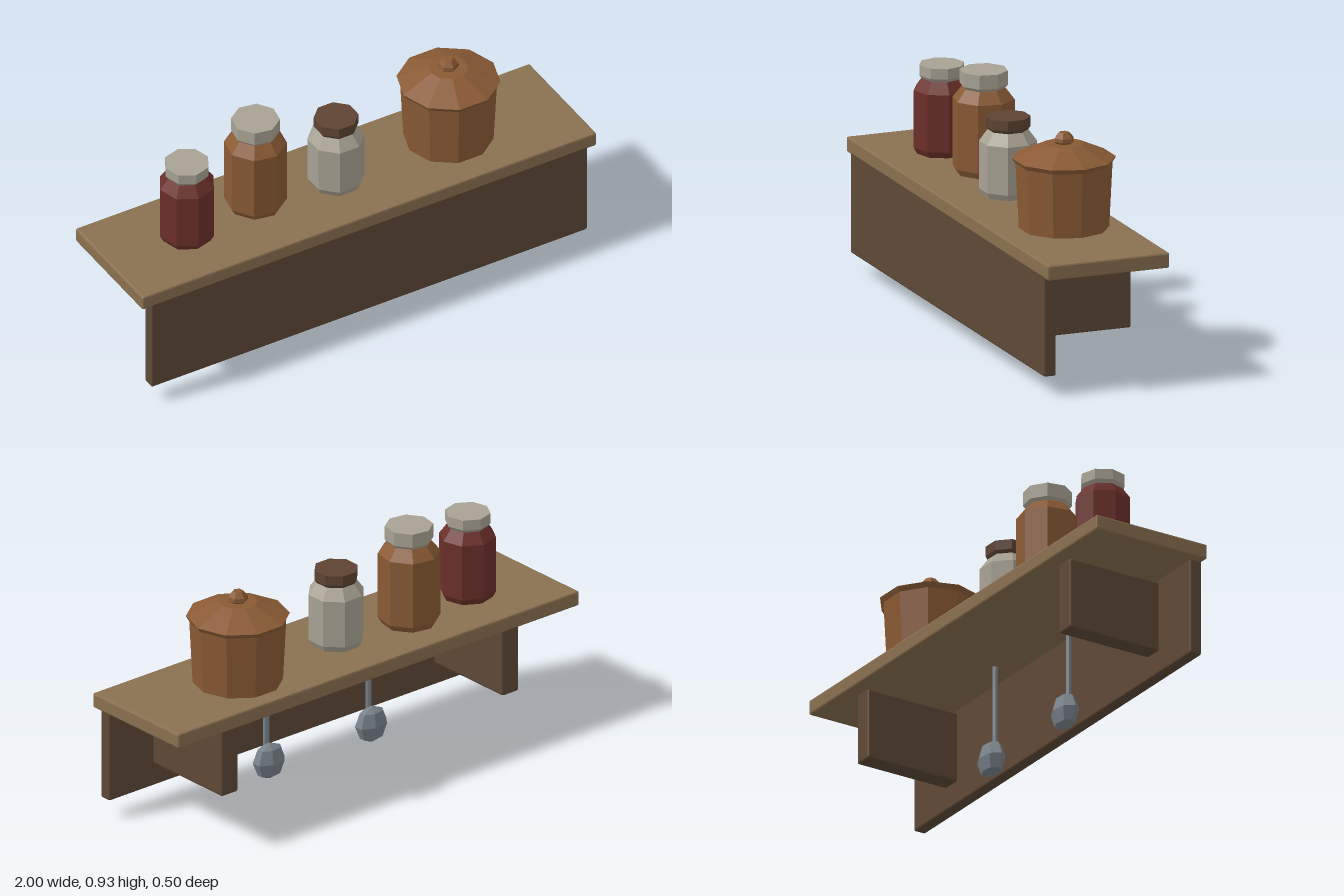
import * as THREE from 'three';
import { RoundedBoxGeometry } from 'three/addons/geometries/RoundedBoxGeometry.js';

const flat = (name, color) => new THREE.MeshStandardMaterial({ name, color, flatShading: true });

export function createModel() {
  const lightWood = flat('light wood', 0x8a7050);
  const darkWood = flat('dark wood', 0x5e4836);
  const clay = flat('amber clay', 0x8a5a34);
  const red = flat('red preserve', 0x6b2f2a);
  const pale = flat('pale ceramic', 0xa8a293);
  const cork = flat('dark lid', 0x5e4333);
  const metal = flat('metal', 0x78828a);

  const model = new THREE.Group();
  model.name = 'kitchenShelf';

  const add = (parent, name, geometry, material, x = 0, y = 0, z = 0) => {
    const mesh = new THREE.Mesh(geometry, material);
    mesh.name = name;
    mesh.position.set(x, y, z);
    parent.add(mesh);
    return mesh;
  };
  const group = (name, x, y, z) => {
    const g = new THREE.Group();
    g.name = name;
    g.position.set(x, y, z);
    model.add(g);
    return g;
  };
  // Chamfered plank
  const plank = (w, h, d) => new RoundedBoxGeometry(w, h, d, 1, 0.007);
  // Faceted turned shape from [radius, height] pairs, bottom to top
  const turned = (profile, sides, turnDegrees) => new THREE.LatheGeometry(
    profile.map(([r, y]) => new THREE.Vector2(r, y)), sides, THREE.MathUtils.degToRad(turnDegrees));

  // Shelf board, front apron and the two brackets behind it
  const top = 0.527;
  add(model, 'shelfBoard', plank(2, 0.06, 0.5), lightWood, 0, 0.497, 0);
  add(model, 'apron', plank(1.92, 0.43, 0.05), darkWood, 0, 0.295, 0.2245);
  for (const side of [-1, 1]) {
    add(model, side > 0 ? 'leftBracket' : 'rightBracket',
      plank(0.08, 0.286, 0.404), darkWood, side * 0.7, 0.315, 0.002);
  }

  // Lidded jars standing on the board
  const jars = [
    { name: 'redJar', x: -0.657, z: 0, r: 0.11, neck: 0.295, h: 0.348, lidR: 0.088, turn: -7, body: red, lid: pale },
    { name: 'amberJar', x: -0.332, z: -0.038, r: 0.12, neck: 0.336, h: 0.403, lidR: 0.093, turn: 12, body: clay, lid: pale },
    { name: 'paleJar', x: 0, z: 0, r: 0.11, neck: 0.258, h: 0.31, lidR: 0.086, turn: 22.5, body: pale, lid: cork },
  ];
  for (const j of jars) {
    const g = group(j.name, j.x, top, j.z);
    add(g, 'jarBody', turned([
      [0, 0], [j.r * 0.88, 0], [j.r, 0.025], [j.r, j.neck - 0.045], [j.r * 0.7, j.neck], [0, j.neck],
    ], 8, j.turn), j.body);
    add(g, 'jarLid', turned([
      [0, j.neck - 0.004], [j.lidR * 0.86, j.neck - 0.004], [j.lidR, j.neck + 0.012], [j.lidR, j.h], [0, j.h],
    ], 8, j.turn), j.lid);
  }

  // Wide pot with a conical lid and knob
  const pot = group('pot', 0.507, top, -0.02);
  add(pot, 'potBody', turned([[0, 0], [0.172, 0], [0.185, 0.26], [0, 0.26]], 10, 18), clay);
  add(pot, 'potLid', turned([
    [0, 0.256], [0.187, 0.256], [0.198, 0.274], [0.075, 0.33], [0, 0.33],
  ], 10, 18), clay);
  add(pot, 'potKnob', turned([
    [0.025, 0.325], [0.04, 0.338], [0.038, 0.352], [0.02, 0.373], [0, 0.373],
  ], 6, 0), clay);

  // Spoons hanging under the board
  for (const side of [-1, 1]) {
    const spoon = group(side > 0 ? 'leftSpoon' : 'rightSpoon', side * 0.255, 0, 0);
    add(spoon, 'spoonHandle', new THREE.CylinderGeometry(0.012, 0.012, 0.36, 6), metal, 0, 0.29, 0.109);
    add(spoon, 'spoonBowl', new THREE.SphereGeometry(1, 7, 4), metal, 0, 0.078, 0.09)
      .scale.set(0.074, 0.075, 0.045);
  }

  return model;
}
